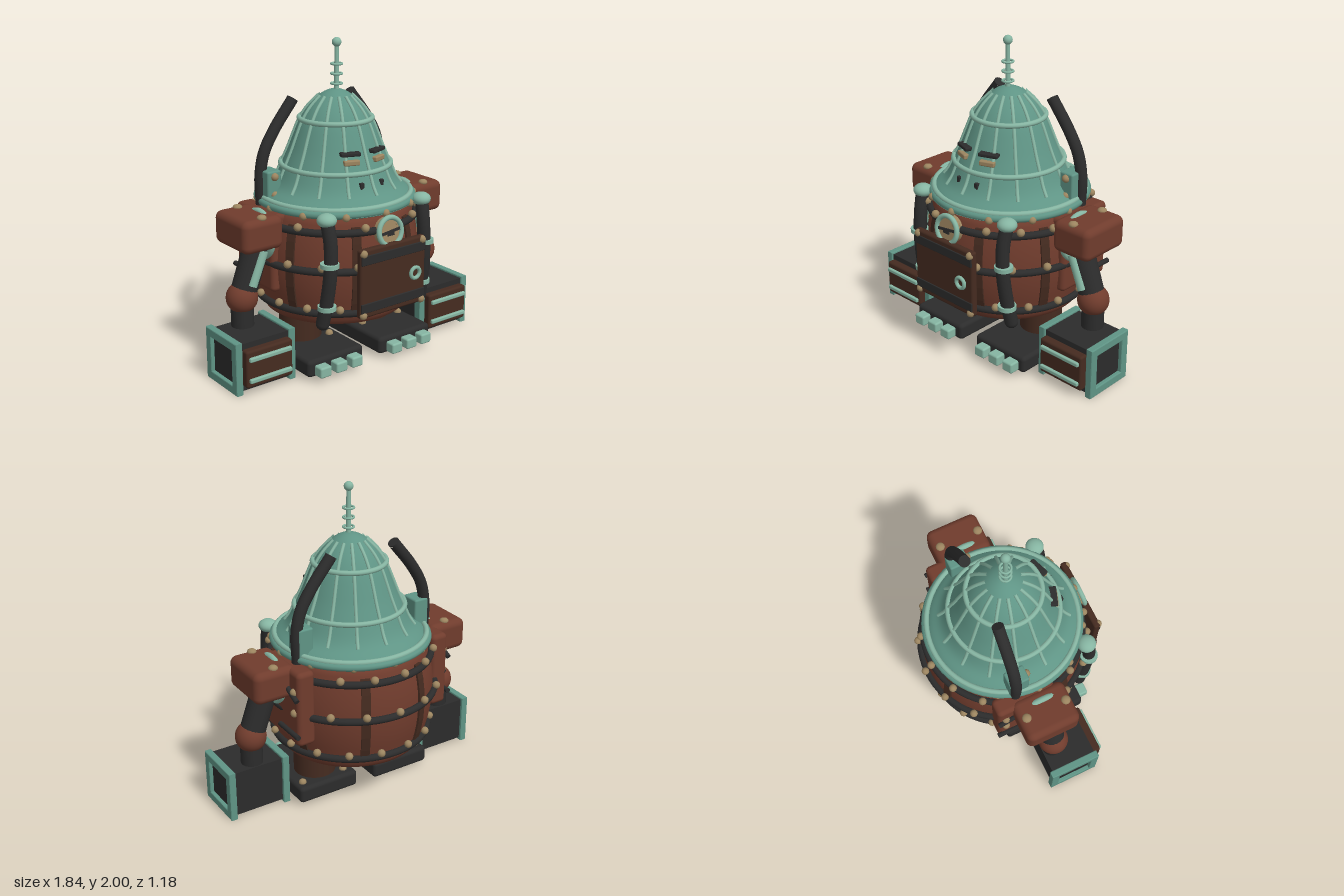
import * as THREE from 'three';
import { RoundedBoxGeometry } from 'three/addons/geometries/RoundedBoxGeometry.js';

const mat = (name, color, side = THREE.FrontSide) => {
  const m = new THREE.MeshStandardMaterial({ color, side });
  m.name = name;
  return m;
};
const V = (x, y, z) => new THREE.Vector3(x, y, z);

export function createModel() {
  const root = new THREE.Group();
  root.name = 'robot';
  const green = mat('patina green', 0x5f9485, THREE.DoubleSide);
  const pale = mat('pale patina', 0x86b5a2);
  const rust = mat('rust', 0x703c2d);
  const brown = mat('dark brown', 0x452b20);
  const black = mat('black iron', 0x2c2c2c);
  const brass = mat('brass', 0x9c8560);

  const add = (name, geo, m, x = 0, y = 0, z = 0, parent = root) => {
    const mesh = new THREE.Mesh(geo, m);
    mesh.name = name;
    mesh.position.set(x, y, z);
    parent.add(mesh);
    return mesh;
  };
  const rbox = (w, h, d, r = 0.02) => new RoundedBoxGeometry(w, h, d, 3, r);
  const tube = (pts, r, n = 24, s = 14) => new THREE.TubeGeometry(new THREE.CatmullRomCurve3(pts), n, r, s);
  // Cylinder running between two points
  const rod = (name, a, b, r, m, parent = root) => {
    const mesh = add(name, new THREE.CylinderGeometry(r, r, a.distanceTo(b), 20), m, 0, 0, 0, parent);
    mesh.position.copy(a).add(b).multiplyScalar(0.5);
    mesh.quaternion.setFromUnitVectors(V(0, 1, 0), b.clone().sub(a).normalize());
    return mesh;
  };
  // Horizontal ring
  const hoop = (name, R, r, m, x, y, z, parent = root) => {
    const mesh = add(name, new THREE.TorusGeometry(R, r, 10, 64), m, x, y, z, parent);
    mesh.rotation.x = Math.PI / 2;
    return mesh;
  };
  const rivetGeo = new THREE.SphereGeometry(0.025, 12, 8);
  const rivet = (x, y, z, parent = root) => add('rivet', rivetGeo, brass, x, y, z, parent);
  const lathe = (pts) => new THREE.LatheGeometry(
    new THREE.SplineCurve(pts.map(p => new THREE.Vector2(...p))).getPoints(40), 64);

  // Barrel body
  const body = new THREE.Group();
  body.name = 'body';
  body.position.z = -0.02;
  root.add(body);
  const bodyR = (y) => 0.525 - 0.55 * (y - 0.68) ** 2;
  const profile = [[0, 0.31], [0.41, 0.31], [0.45, 0.325], [0.475, 0.36]];
  for (let y = 0.42; y < 0.97; y += 0.06) profile.push([bodyR(y), y]);
  profile.push([0.47, 0.985], [0.45, 1.0], [0, 1.0]);
  add('barrel', new THREE.LatheGeometry(profile.map(p => new THREE.Vector2(...p)), 64), rust, 0, 0, 0, body);

  // Vertical staves
  for (let i = 0; i < 8; i++) {
    const a = Math.PI / 8 + i * Math.PI / 4;
    const pts = [];
    for (let k = 0; k <= 6; k++) pts.push([0.38 + k * 0.095, bodyR(0.38 + k * 0.095)]);
    const s = new THREE.Shape();
    pts.forEach(([y, r], k) => (k ? s.lineTo(r + 0.012, y) : s.moveTo(r + 0.012, y)));
    pts.reverse().forEach(([y, r]) => s.lineTo(r - 0.03, y));
    const g = new THREE.ExtrudeGeometry(s, { depth: 0.055, bevelEnabled: false });
    g.translate(0, 0, -0.0275);
    add('stave', g, brown, 0, 0, 0, body).rotation.y = a;
  }

  // Iron hoops with rivets
  [[0.41, 0.2], [0.69, 0], [0.92, 0.1]].forEach(([y, off]) => {
    const R = bodyR(y) + 0.012;
    hoop('barrelHoop', R, 0.023, black, 0, y, 0, body);
    for (let i = 0; i < 16; i++) {
      const a = off + i * Math.PI / 8;
      rivet(Math.sin(a) * (R + 0.015), y + 0.03, Math.cos(a) * (R + 0.015), body);
    }
  });

  // Domed head
  const head = new THREE.Group();
  head.name = 'head';
  head.position.z = -0.01;
  root.add(head);
  const dome = [[0.495, 1.01], [0.46, 1.055], [0.405, 1.1], [0.37, 1.15], [0.335, 1.23], [0.295, 1.32],
    [0.26, 1.41], [0.222, 1.5], [0.17, 1.58], [0.1, 1.65], [0.04, 1.682], [0, 1.688]];
  add('dome', lathe(dome), green, 0, 0, 0, head);
  hoop('brim', 0.485, 0.023, green, 0, 1.025, -0.01, head);
  hoop('brimRing', 0.475, 0.017, pale, 0, 1.05, -0.01, head);
  hoop('lowerHeadRing', 0.342, 0.016, pale, 0, 1.23, 0, head);
  hoop('upperHeadRing', 0.225, 0.016, pale, 0, 1.51, 0, head);
  const ribPts = dome.slice(2, 10).map(([r, y]) => V(0, y, r + 0.002));
  const ribGeo = tube(ribPts, 0.011, 24, 8);
  for (let i = 0; i < 14; i++) add('headRib', ribGeo, pale, 0, 0, 0, head).rotation.y = i * Math.PI / 7;
  for (let i = 0; i < 12; i++) {
    const a = i * Math.PI / 6;
    rivet(Math.sin(a) * 0.49, 1.015, Math.cos(a) * 0.49, head);
  }

  // Antenna
  add('antennaRod', new THREE.CylinderGeometry(0.013, 0.016, 0.3, 14), pale, 0, 1.82, 0);
  add('antennaTip', new THREE.SphereGeometry(0.029, 18, 14), pale, 0, 1.971, 0);
  [1.72, 1.78, 1.84].forEach(y => hoop('antennaRing', 0.033, 0.007, pale, 0, y, 0));

  // Chest gauge
  const gauge = new THREE.Group();
  gauge.name = 'gauge';
  gauge.position.set(0, 0.91, 0.515);
  gauge.rotation.x = -0.15;
  root.add(gauge);
  add('gaugeFace', new THREE.CylinderGeometry(0.085, 0.085, 0.05, 32), brass, 0, 0, -0.015, gauge).rotation.x = Math.PI / 2;
  add('gaugeRim', new THREE.TorusGeometry(0.085, 0.016, 10, 36), pale, 0, 0, 0.01, gauge);
  add('gaugeNeedle', new THREE.BoxGeometry(0.14, 0.016, 0.008), black, 0, 0, 0.014, gauge).rotation.z = 0.12;
  add('gaugePivot', new THREE.BoxGeometry(0.05, 0.028, 0.008), black, 0, -0.01, 0.014, gauge);

  // Furnace door
  add('door', rbox(0.5, 0.43, 0.045, 0.015), brown, 0, 0.635, 0.54);
  [0.785, 0.485].forEach(y => add('doorBand', rbox(0.49, 0.06, 0.012, 0.005), black, 0, y, 0.562));
  [-1, 1].forEach(s => [0.44, 0.825].forEach(y => rivet(s * 0.225, y, 0.555)));
  add('doorHandle', new THREE.TorusGeometry(0.034, 0.012, 10, 28), pale, 0.16, 0.63, 0.575);

  // Paired parts, s is the side
  [1, -1].forEach(s => {
    const side = new THREE.Group();
    side.name = s > 0 ? 'leftSide' : 'rightSide';
    root.add(side);
    const put = (name, geo, m, x, y, z) => add(name, geo, m, s * x, y, z, side);
    const P = (x, y, z) => V(s * x, y, z);

    // Face
    const eye = put('eye', rbox(0.1, 0.032, 0.05, 0.008), brass, 0.1, 1.295, 0.275);
    eye.rotation.y = s * 0.35;
    const brow = put('brow', rbox(0.125, 0.024, 0.06, 0.008), black, 0.1, 1.345, 0.262);
    brow.rotation.y = s * 0.35;
    put('nostril', rbox(0.028, 0.042, 0.04, 0.005), black, 0.075, 1.16, 0.335);

    // Front pipe
    add('frontPipe', tube([P(0.385, 0.37, 0.37), P(0.375, 0.5, 0.395), P(0.365, 0.7, 0.42),
      P(0.36, 0.88, 0.415), P(0.365, 1.0, 0.39)], 0.042), black, 0, 0, 0, side);
    put('pipeFoot', new THREE.SphereGeometry(0.042, 14, 10), black, 0.385, 0.37, 0.37);
    const cap = put('pipeCap', new THREE.SphereGeometry(0.06, 20, 14), pale, 0.365, 1.015, 0.385);
    cap.scale.y = 0.7;
    [[0.75, 0.42], [0.475, 0.392]].forEach(([y, z]) =>
      put('pipeCollar', new THREE.CylinderGeometry(0.057, 0.057, 0.026, 24), pale, 0.37, y, z));

    // Rear exhaust horn and bracket
    const horn = [P(0.46, 1.0, -0.155), P(0.465, 1.18, -0.155), P(0.435, 1.32, -0.155),
      P(0.36, 1.45, -0.155), P(0.225, 1.62, -0.155)];
    add('horn', tube(horn, 0.036, 36), black, 0, 0, 0, side);
    [[horn[0], horn[0].clone().add(V(0, 0.01, 0))], [horn[4], horn[4].clone().add(P(-0.005, 0.007, 0))]]
      .forEach(([a, b]) => rod('hornEnd', a, b, 0.036, black, side));
    put('hornBracket', rbox(0.1, 0.2, 0.13, 0.012), green, 0.42, 1.12, -0.13);
    [1.07, 1.185].forEach(y => rivet(s * 0.42, y, -0.065, side));

    // Side armour plate
    put('sidePlate', rbox(0.12, 0.49, 0.4, 0.03), rust, 0.49, 0.755, -0.11);
    rod('plateBar', P(0.56, 0.59, -0.32), P(0.56, 0.59, -0.1), 0.016, black, side);
    rod('plateBar', P(0.56, 0.83, -0.31), P(0.56, 0.9, -0.16), 0.016, black, side);
    [0.87, 0.73].forEach(y => rivet(s * 0.55, y, -0.26, side));

    // Shoulder
    put('shoulder', rbox(0.28, 0.205, 0.355, 0.045), rust, 0.633, 0.908, -0.033);
    put('shoulderRing', new THREE.TorusGeometry(0.14, 0.02, 12, 40), pale, 0.565, 0.868, -0.02).rotation.y = Math.PI / 2;
    [0.105, -0.16].forEach(z => {
      rivet(s * 0.63, 1.01, z, side).scale.set(1.2, 0.8, 1.2);
    });

    // Arm
    rod('upperArm', P(0.585, 0.86, 0), P(0.7, 0.54, 0), 0.08, black, side);
    const piston = rod('armPiston', P(0.6, 0.79, 0.075), P(0.685, 0.585, 0.075), 0.028, pale, side);
    piston.scale.z = 0.9;
    put('elbow', new THREE.SphereGeometry(0.098, 28, 20), rust, 0.715, 0.5, 0);
    put('forearm', new THREE.CylinderGeometry(0.07, 0.07, 0.2, 24), black, 0.715, 0.39, 0);

    // Block fist with framed ends
    put('fist', new THREE.BoxGeometry(0.37, 0.3, 0.31), black, 0.71, 0.17, 0.08);
    const frame = new THREE.Shape([[-0.165, -0.16], [0.165, -0.16], [0.165, 0.16], [-0.165, 0.16]]
      .map(p => new THREE.Vector2(...p)));
    frame.holes.push(new THREE.Path([[-0.123, -0.118], [-0.123, 0.118], [0.123, 0.118], [0.123, -0.118]]
      .map(p => new THREE.Vector2(...p))));
    const frameGeo = new THREE.ExtrudeGeometry(frame, { depth: 0.034, bevelSize: 0.006, bevelThickness: 0.006, bevelSegments: 2 });
    frameGeo.translate(0, 0, -0.017);
    [0.523, 0.897].forEach(x => put('fistFrame', frameGeo, green, x, 0.167, 0.078).rotation.y = Math.PI / 2);
    put('knucklePlate', rbox(0.325, 0.235, 0.06, 0.015), brown, 0.71, 0.17, 0.26);
    [0.235, 0.1].forEach(y => put('knuckleBar', rbox(0.295, 0.028, 0.03, 0.008), pale, 0.71, y, 0.293));

    // Leg and foot
    put('leg', new THREE.CylinderGeometry(0.135, 0.135, 0.24, 32), brown, 0.275, 0.23, -0.02);
    put('foot', rbox(0.42, 0.11, 0.575, 0.025), black, 0.275, 0.085, 0.078);
    [0.16, 0.28, 0.4].forEach(x => put('toe', rbox(0.082, 0.068, 0.1, 0.012), pale, x, 0.075, 0.38));
    [0.135, 0.435].forEach(x => [0.1, -0.14].forEach(z => rivet(s * x, 0.142, z, side)));
  });
  return root;
}
